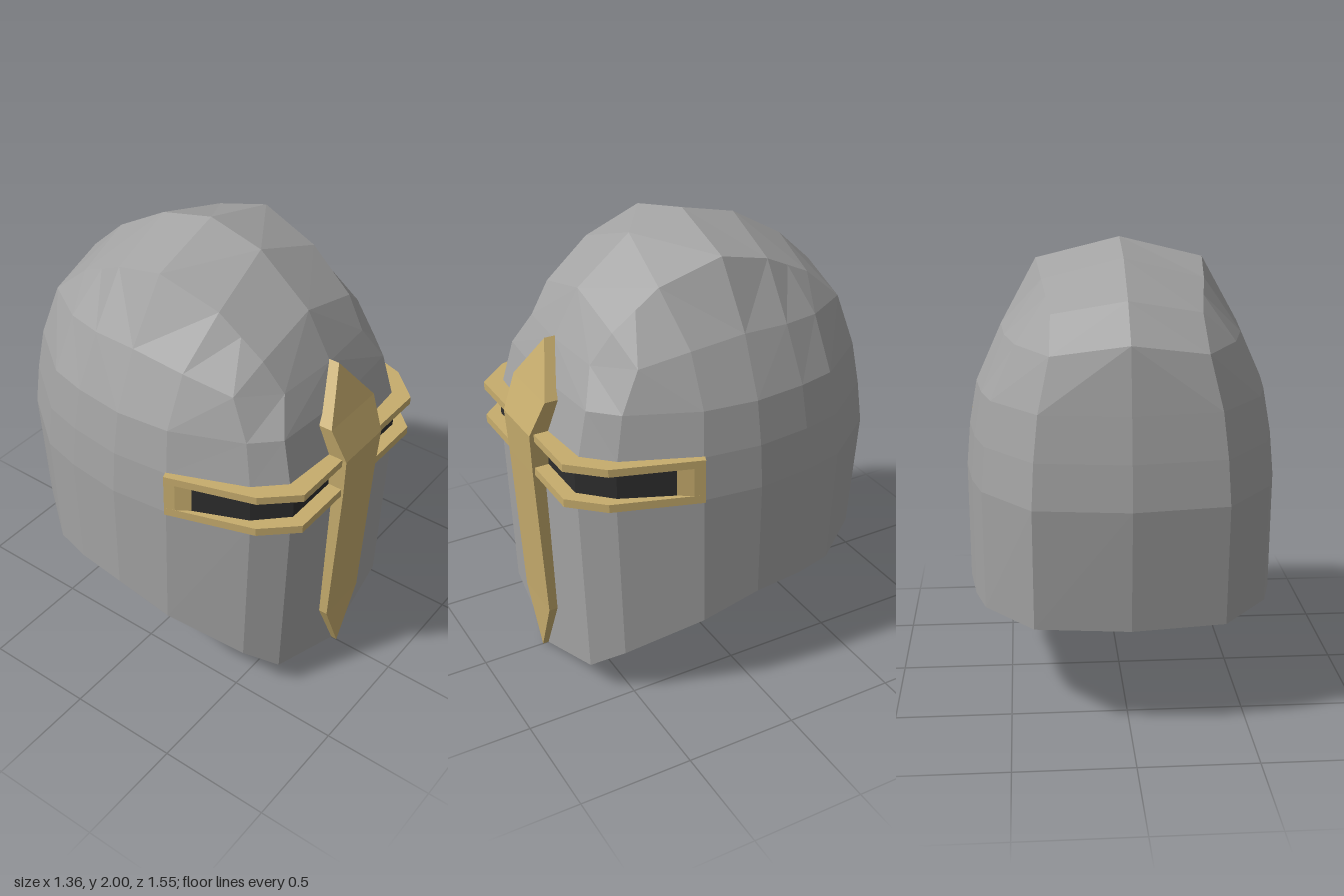
import * as THREE from 'three';

const steel = new THREE.MeshStandardMaterial({ color: 0xa3a3a3, flatShading: true });
const gold = new THREE.MeshStandardMaterial({ color: 0xc6ac6d, flatShading: true });
const dark = new THREE.MeshStandardMaterial({ color: 0x2e2e2e, flatShading: true });

// Collects quads on the +x half and mirrors each one to -x.
function mirroredSurface() {
  const pos = [];
  const tri = (...pts) => pts.forEach((p) => pos.push(...p));
  const flip = (p) => [-p[0], p[1], p[2]];
  return {
    quad(a, b, c, d) {
      tri(a, b, c, a, c, d);
      const [e, f, g, h] = [a, b, c, d].map(flip);
      tri(e, g, f, e, h, g);
    },
    mesh(name, material) {
      const geo = new THREE.BufferGeometry();
      geo.setAttribute('position', new THREE.Float32BufferAttribute(pos, 3));
      geo.computeVertexNormals();
      const m = new THREE.Mesh(geo, material);
      m.name = name;
      return m;
    },
  };
}

// Half plan of the shell at eye level, [x, z] from front centre to back centre
const plan = [[0, 0.72], [0.4, 0.69], [0.515, 0.57], [0.65, 0.24], [0.678, -0.02],
  [0.65, -0.27], [0.605, -0.45], [0.4, -0.72], [0, -0.775]];
const rimHeights = [0.005, 0.14, 0.24, 0.39, 0.475, 0.475, 0.475, 0.475, 0.475];

// Rings scaled from the plan: height, then scale of x, front z and back z
const ring = (height, sx, sf, sb) => plan.map(([x, z], j) =>
  [x * sx, height(j), z * (z > 0 ? sf : sb)]);

// Ring at the brow of the dome
const brow = [[0, 1.54, 0.585], [0.285, 1.53, 0.56], [0.45, 1.55, 0.43], [0.5, 1.6, 0.22],
  [0.515, 1.63, -0.02], [0.5, 1.62, -0.23], [0.455, 1.61, -0.4], [0.32, 1.6, -0.61], [0, 1.65, -0.67]];
// Ridge around the crown and the centre line over the top
const ridge = [[0, 1.74, 0.47], [0.31, 1.66, 0.47], [0.32, 1.74, 0.37], [0.33, 1.82, 0.27],
  [0.36, 1.91, 0], [0.34, 1.85, -0.23], [0.325, 1.795, -0.34], [0.31, 1.74, -0.45], [0, 1.8, -0.51]];
const crown = [ridge[0], [0, 1.935, 0.23], [0, 2, -0.02], [0, 1.94, -0.27], ridge[8]];
const crownSide = [1, 3, 4, 5, 7];

function buildShell() {
  const surf = mirroredSurface();
  const outer = [
    ring((j) => rimHeights[j], 0.995, 0.955, 0.945),
    ring(() => 1.0, 1, 1, 1),
    ring(() => 1.19, 0.975, 0.975, 0.97),
    ring(() => 1.38, 0.925, 0.905, 0.93),
    brow,
    ridge,
  ];
  const shrink = ([x, y, z]) => [x * 0.87, y > 1.2 ? 1.2 + (y - 1.2) * 0.89 : y, z * 0.87];
  const inner = outer.map((r) => r.map(shrink));

  const skin = (rows, mid, quad) => {
    for (let i = 0; i < rows.length - 1; i++) {
      for (let j = 0; j < 8; j++) {
        if (i === 1 && j < 3) continue; // eye slot
        const [a, b, c, d] = [rows[i][j], rows[i][j + 1], rows[i + 1][j + 1], rows[i + 1][j]];
        if (j < 4) quad(b, c, d, a);
        else quad(a, b, c, d);
      }
    }
    const top = rows[rows.length - 1];
    for (let k = 0; k < 4; k++) {
      quad(mid[k], top[crownSide[k]], top[crownSide[k + 1]], mid[k + 1]);
    }
  };
  skin(outer, crown, surf.quad);
  skin(inner, crown.map(shrink), (a, b, c, d) => surf.quad(a, d, c, b));

  // Lower rim joining both skins
  for (let j = 0; j < 8; j++) {
    surf.quad(outer[0][j], inner[0][j], inner[0][j + 1], outer[0][j + 1]);
  }
  // Walls of the eye slot: sill, lintel and end
  for (let j = 0; j < 3; j++) {
    surf.quad(outer[1][j], outer[1][j + 1], inner[1][j + 1], inner[1][j]);
    surf.quad(outer[2][j], inner[2][j], inner[2][j + 1], outer[2][j + 1]);
  }
  surf.quad(outer[1][3], outer[2][3], inner[2][3], inner[1][3]);
  return surf.mesh('helmetShell', steel);
}

const mirror = (pts) => pts.map(([x, z]) => [-x, z]).reverse();
const bothSides = (pts) => [...pts, ...mirror(pts)];

// Upright prism from a plan polygon of [x, z] points
function prism(name, material, points, y0, y1) {
  const shape = new THREE.Shape(points.map(([x, z]) => new THREE.Vector2(x, -z)));
  const geo = new THREE.ExtrudeGeometry(shape, { depth: y1 - y0, bevelEnabled: false });
  geo.rotateX(-Math.PI / 2).translate(0, y0, 0);
  const m = new THREE.Mesh(geo, material);
  m.name = name;
  return m;
}

function buildVisor() {
  const group = new THREE.Group();
  group.name = 'visor';
  const front = [[0.41, 0.755], [0.54, 0.615], [0.662, 0.24]];
  const middle = [[0.382, 0.682], [0.505, 0.56], [0.605, 0.335], [0.645, 0.235]];
  const back = [[0.625, 0.225], [0.485, 0.54], [0.36, 0.655]];
  const bar = bothSides([...front, ...back]);
  group.add(prism('lowerBar', gold, bar, 0.995, 1.032));
  group.add(prism('upperBar', gold, bar, 1.16, 1.195));
  group.add(prism('backing', gold, bothSides([...middle, ...back]), 1.032, 1.16));
  // Dark strip set into the frame
  const strip = [[0.388, 0.692], [0.513, 0.566], [0.611, 0.337], [0.6, 0.332], [0.5, 0.55], [0.375, 0.672]];
  group.add(prism('eyeStrip', dark, bothSides(strip), 1.032, 1.16));
  // Bevelled posts closing the slot at each side
  const post = [[0.662, 0.24], [0.647, 0.285], [0.597, 0.36], [0.58, 0.33], [0.63, 0.23]];
  group.add(prism('leftPost', gold, post, 1.032, 1.16));
  group.add(prism('rightPost', gold, mirror(post), 1.032, 1.16));
  return group;
}

function buildNasal() {
  const surf = mirroredSurface();
  // Sections: height, half width, front z, back z
  const sections = [[0.005, 0, 0.715, 0.598], [0.28, 0.125, 0.726, 0.595], [1.0, 0.125, 0.765, 0.615],
    [1.19, 0.135, 0.775, 0.605], [1.34, 0.16, 0.71, 0.585], [1.55, 0, 0.628, 0.58]];
  const loops = sections.map(([y, w, f, b]) => [[0, y, f], [w, y, f], [w, y, b], [0, y, b]]);
  for (let i = 0; i < loops.length - 1; i++) {
    for (let j = 0; j < 3; j++) {
      surf.quad(loops[i][j], loops[i][j + 1], loops[i + 1][j + 1], loops[i + 1][j]);
    }
  }
  return surf.mesh('noseGuard', gold);
}

export function createModel() {
  const model = new THREE.Group();
  model.name = 'helmet';
  model.add(buildShell(), buildVisor(), buildNasal());
  return model;
}
